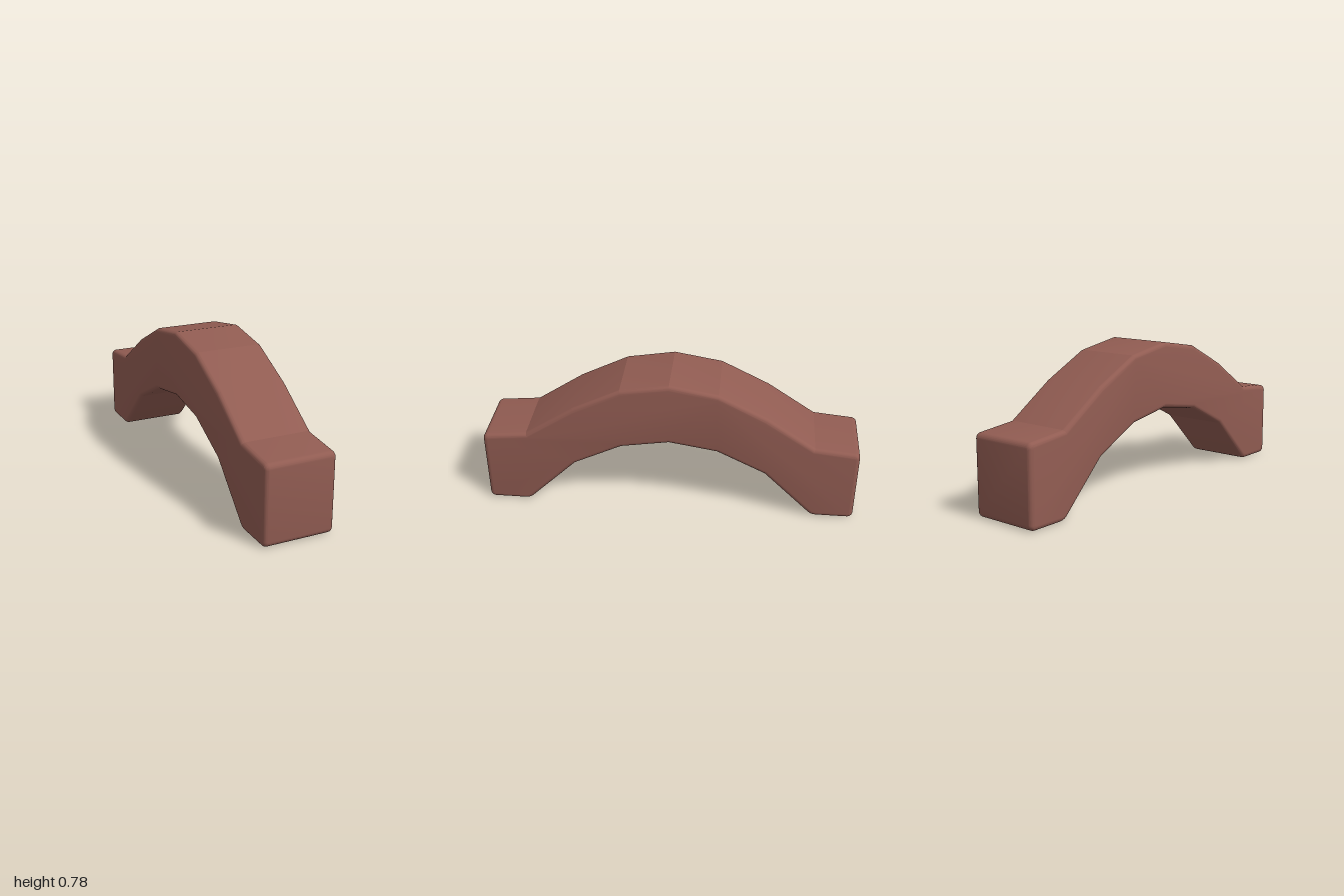
import * as THREE from 'three';
import { toCreasedNormals } from 'three/addons/utils/BufferGeometryUtils.js';

const WIDTH = 0.377;
const BEVEL = 0.024;

// Points along an arc, angles in degrees
function arc(cx, cy, r, from, to, steps) {
  return Array.from({ length: steps + 1 }, (_, i) => {
    const a = THREE.MathUtils.degToRad(from + ((to - from) * i) / steps);
    return [cx + r * Math.cos(a), cy + r * Math.sin(a)];
  });
}

export function createModel() {
  const model = new THREE.Group();
  model.name = 'archedHandle';

  const brown = new THREE.MeshStandardMaterial({ color: 0x915c52 });
  brown.name = 'reddishBrown';

  // Front half of the side profile: underside, foot, then top
  const half = [
    [0, 0.43], [0.255, 0.388], [0.51, 0.262],
    ...arc(0.8, 0.06, 0.06, -135, -90, 3),
    ...arc(0.97, 0.03, 0.03, -90, 0, 6),
    ...arc(0.97, 0.39, 0.03, 0, 90, 6),
    [0.765, 0.44], [0.51, 0.61], [0.255, 0.737], [0, 0.78],
  ];
  // Mirror it for the back half
  const back = half.slice(1, -1).reverse().map(([z, y]) => [-z, y]);
  const profile = new THREE.Shape([...half, ...back].map(([z, y]) => new THREE.Vector2(z, y)));

  // Extrude across the width with rounded side edges
  let geometry = new THREE.ExtrudeGeometry(profile, {
    depth: WIDTH - 2 * BEVEL,
    bevelEnabled: true,
    bevelThickness: BEVEL,
    bevelSize: BEVEL,
    bevelOffset: -BEVEL,
    bevelSegments: 6,
  });
  geometry.translate(0, 0, -(WIDTH / 2 - BEVEL));
  geometry.rotateY(-Math.PI / 2);
  geometry = toCreasedNormals(geometry, 0.28);

  const arch = new THREE.Mesh(geometry, brown);
  arch.name = 'arch';
  model.add(arch);
  return model;
}
